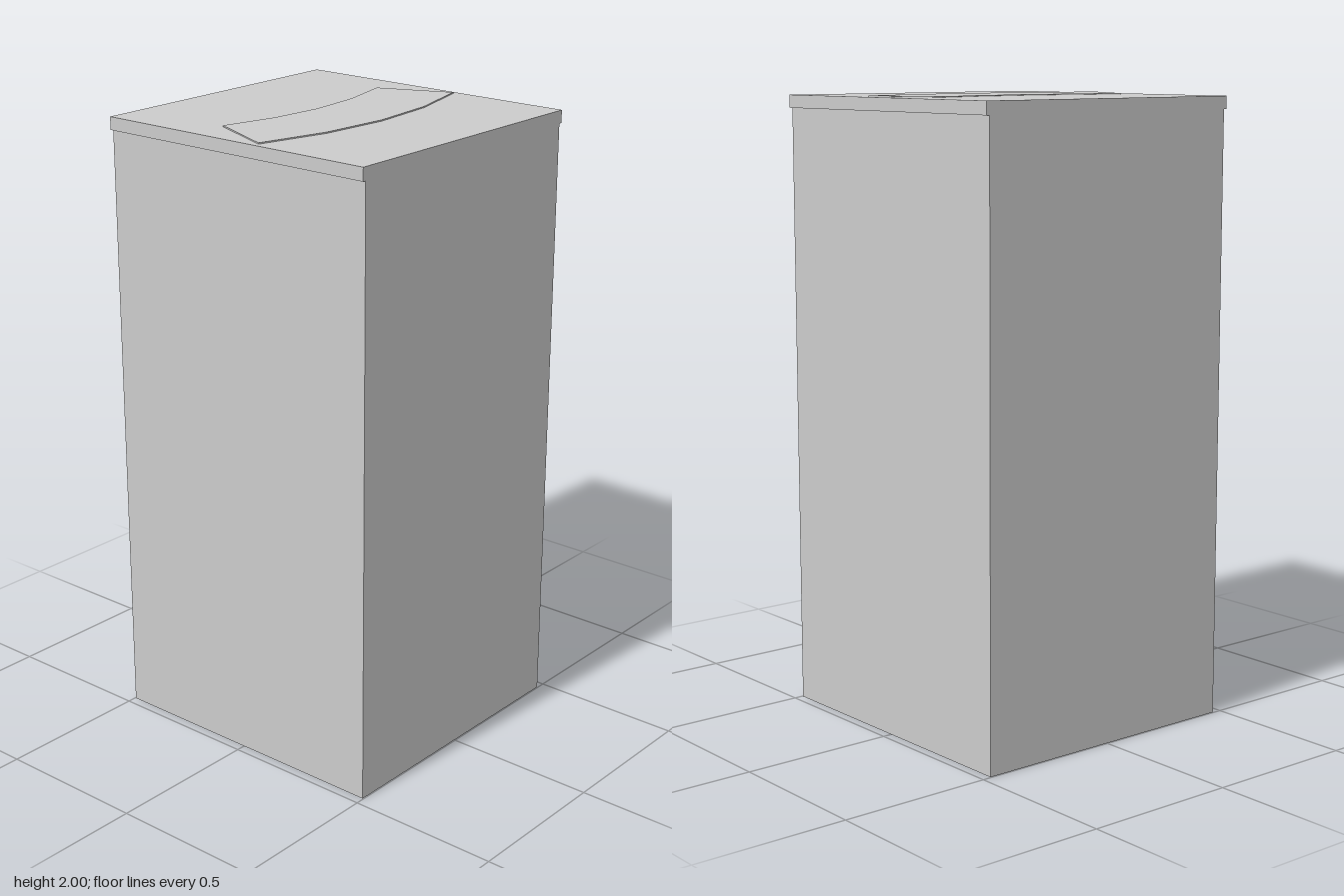
import * as THREE from 'three';

export function createModel() {
  const model = new THREE.Group();
  const material = new THREE.MeshStandardMaterial({ color: 0xcccccc, flatShading: true });

  function addPart(name, geometry, y) {
    const mesh = new THREE.Mesh(geometry, material);
    mesh.name = name;
    mesh.position.y = y;
    model.add(mesh);
  }

  const depth = 0.994, bodyTop = 1.955, topSurface = 1.996;

  // Tall pedestal body
  addPart('body', new THREE.BoxGeometry(0.94, bodyTop, depth), bodyTop / 2);

  // Top slab, overhanging at the two sides only
  addPart('topSlab', new THREE.BoxGeometry(0.962, topSurface - bodyTop, depth), (bodyTop + topSurface) / 2);

  // Thin curved panel on the slab, drawn in x and -z and laid flat
  const outline = new THREE.Shape();
  outline.moveTo(-0.462, -0.093);
  outline.quadraticCurveTo(0, -0.253, 0.462, -0.093);
  outline.lineTo(0.362, 0.14);
  outline.quadraticCurveTo(0, 0.02, -0.362, 0.14);
  outline.closePath();
  const panel = new THREE.ExtrudeGeometry(outline, {
    depth: 2 - topSurface, bevelEnabled: false, curveSegments: 4,
  });
  panel.rotateX(-Math.PI / 2);
  addPart('curvedPanel', panel, topSurface);

  return model;
}
